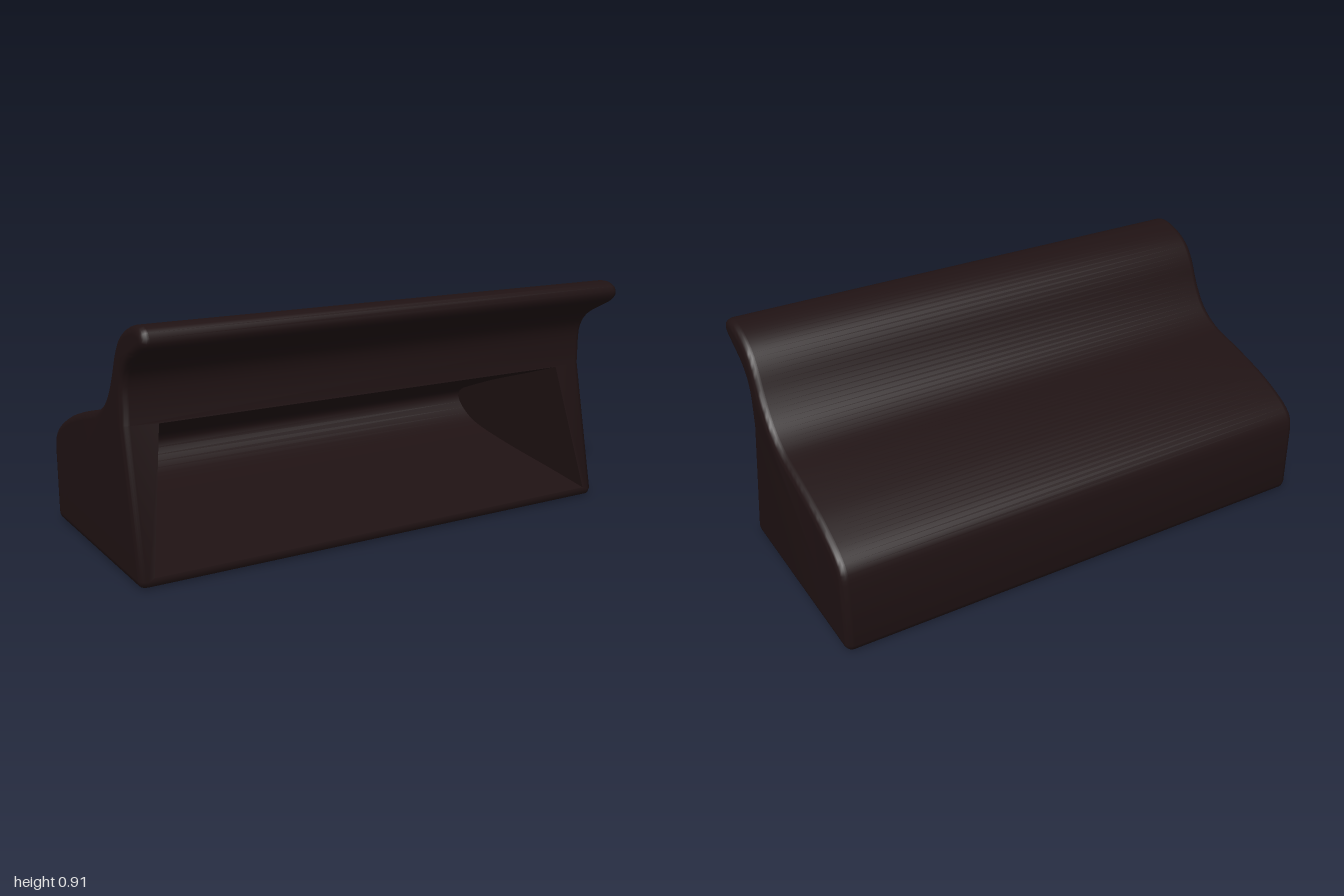
import * as THREE from 'three';
import { toCreasedNormals } from 'three/addons/utils/BufferGeometryUtils.js';

const R = 0.028; // rounding of the two ends
const V2 = (a) => new THREE.Vector2(a[0], a[1]);
const spline = (pts, n) => new THREE.SplineCurve(pts.map(V2)).getSpacedPoints(n);

// Front face: a slanted plane between two heights
const LOW = [0.392, 0.03], HIGH = [0.28, 0.545];
const frontZ = (y) => LOW[0] + (HIGH[0] - LOW[0]) * (y - LOW[1]) / (HIGH[1] - LOW[1]);

// Half width of the recess at (z, y): its side walls are tilted planes
const halfWidth = (z, y) => 0.924 - 0.142 * y + 0.08 * z;

// Side profile as (z, y): up the neck, round the lip, down the back, along the bottom
function sideProfile() {
  const upper = spline([
    [0.28, 0.64], [0.283, 0.68], [0.3, 0.725], [0.34, 0.765], [0.4, 0.798], [0.455, 0.826],
    [0.478, 0.847], [0.483, 0.867], [0.474, 0.888], [0.45, 0.902], [0.42, 0.906], [0.37, 0.898],
    [0.31, 0.875], [0.26, 0.84], [0.22, 0.785], [0.18, 0.7], [0.14, 0.635], [0.1, 0.592],
    [0.05, 0.56], [0, 0.54], [-0.1, 0.514], [-0.2, 0.485], [-0.3, 0.45], [-0.4, 0.402],
    [-0.45, 0.365], [-0.473, 0.33], [-0.48, 0.29],
  ], 80);
  const lower = [[-0.48, 0.03], [-0.471, 0.009], [-0.45, 0], [0.36, 0], [0.382, 0.008], LOW];
  return [V2(HIGH), ...upper, ...lower.map(V2)];
}

// Profile moved inward by d
function inset(profile, d) {
  const n = profile.length;
  return profile.map((p, i) => {
    const a = profile[(i + n - 1) % n], b = profile[(i + 1) % n];
    const t1 = p.clone().sub(a).normalize(), t2 = b.clone().sub(p).normalize();
    const t = t1.add(t2).normalize();
    return new THREE.Vector2(p.x - t.y * d, p.y + t.x * d);
  });
}

// Skin between two rings, the second at greater x
function skin(out, r0, r1, closed) {
  const n = r0.length;
  for (let i = 0; i < (closed ? n : n - 1); i++) {
    const j = (i + 1) % n;
    out.push(r0[i], r1[i], r1[j], r0[i], r1[j], r0[j]);
  }
}

// Flat fill of a ring, facing along x with the given sign
function fill(out, ring, sign) {
  const flat = ring.map((p) => new THREE.Vector2(p.z, p.y));
  for (const [a, b, c] of THREE.ShapeUtils.triangulateShape(flat, [])) {
    const nx = ring[b].clone().sub(ring[a]).cross(ring[c].clone().sub(ring[a])).x;
    if (nx * sign > 0) out.push(ring[a], ring[b], ring[c]);
    else out.push(ring[a], ring[c], ring[b]);
  }
}

function meshFrom(points, name, material) {
  const geometry = new THREE.BufferGeometry().setFromPoints(points);
  const mesh = new THREE.Mesh(toCreasedNormals(geometry, 0.9), material);
  mesh.name = name;
  return mesh;
}

export function createModel() {
  const group = new THREE.Group();
  group.name = 'cupPull';
  const material = new THREE.MeshStandardMaterial({ color: 0x1f1213 });

  // Body: the profile swept along x with rounded ends
  const profile = sideProfile();
  const ringAt = (x, d) => inset(profile, d).map((p) => new THREE.Vector3(x, p.y, p.x));
  const body = [], rings = [], steps = 5;
  for (let side = -1; side <= 1; side += 2) {
    for (let k = 0; k <= steps; k++) {
      const a = (side < 0 ? steps - k : k) / steps * Math.PI / 2;
      rings.push(ringAt(side * (1 - R + R * Math.sin(a)), R * (1 - Math.cos(a))));
    }
  }
  // The long middle span is left open where the front frame goes
  for (let i = 0; i + 1 < rings.length; i++) skin(body, rings[i], rings[i + 1], i !== steps);
  fill(body, rings[0], -1);
  fill(body, rings[rings.length - 1], 1);

  // Front frame around the tapered opening
  const top = 0.54, bottom = 0.04, edge = 1 - R;
  const wTop = halfWidth(frontZ(top), top), wBottom = halfWidth(frontZ(bottom), bottom);
  const frame = new THREE.Shape([[-edge, LOW[1]], [edge, LOW[1]], [edge, HIGH[1]], [-edge, HIGH[1]]].map(V2));
  frame.holes.push(new THREE.Path([[-wBottom, bottom], [-wTop, top], [wTop, top], [wBottom, bottom]].map(V2)));
  const frameGeometry = new THREE.ShapeGeometry(frame).toNonIndexed();
  const pos = frameGeometry.attributes.position;
  for (let i = 0; i < pos.count; i++) {
    body.push(new THREE.Vector3(pos.getX(i), pos.getY(i), frontZ(pos.getY(i))));
  }
  group.add(meshFrom(body, 'body', material));

  // Recess: sloping floor, rounded back and ceiling, closed by two side walls
  const section = spline([
    [frontZ(bottom), bottom], [0.2, 0.08], [-0.05, 0.13], [-0.24, 0.18], [-0.32, 0.23],
    [-0.355, 0.285], [-0.335, 0.322], [-0.28, 0.348], [-0.1, 0.415], [0.1, 0.48], [frontZ(top), top],
  ], 50);
  const wall = (side) => section.map((p) => new THREE.Vector3(side * halfWidth(p.x, p.y), p.y, p.x));
  const recess = [];
  skin(recess, wall(-1), wall(1), false);
  fill(recess, wall(-1), 1);
  fill(recess, wall(1), -1);
  group.add(meshFrom(recess, 'recess', material));

  return group;
}
